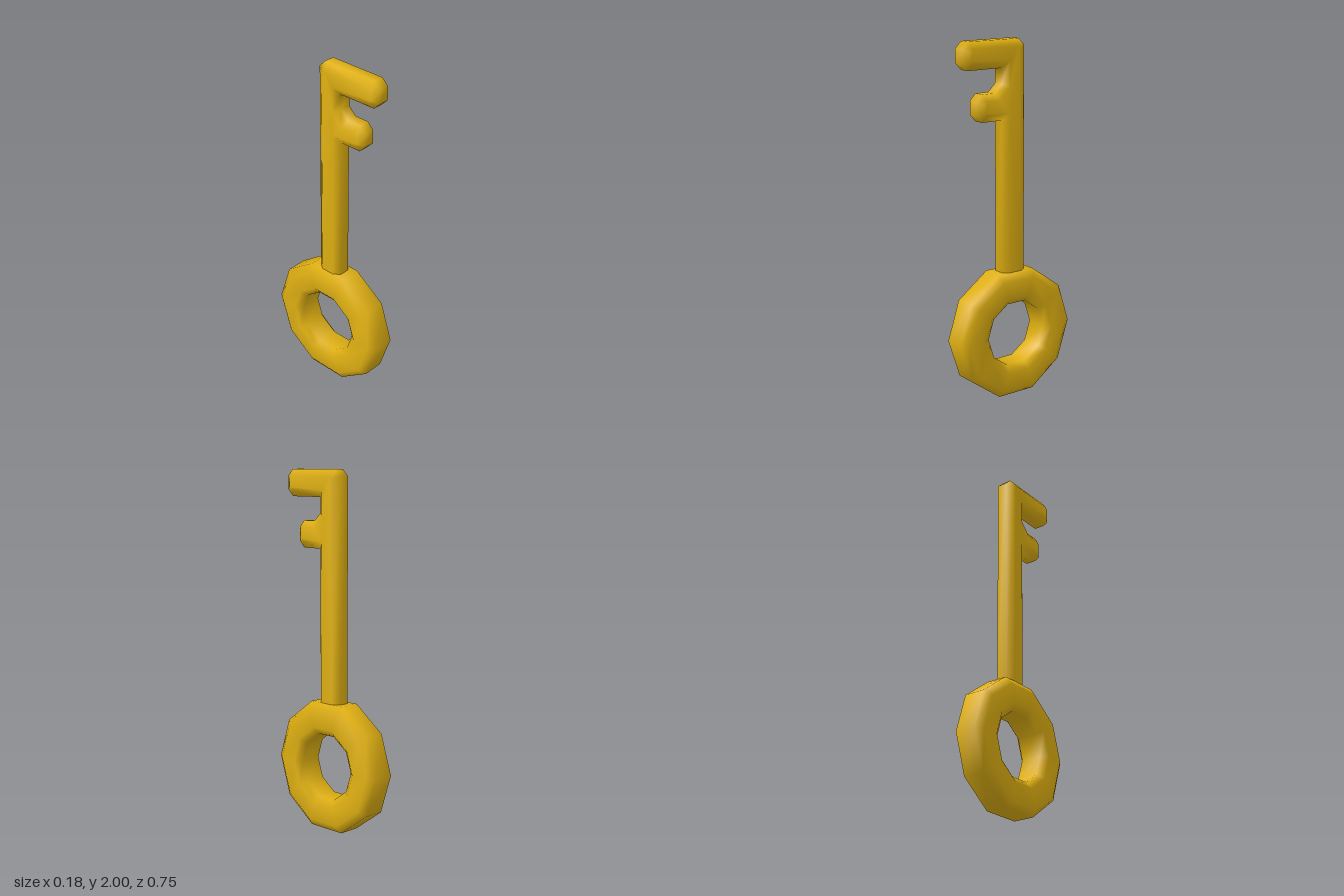
import * as THREE from 'three';
import { mergeVertices } from 'three/addons/utils/BufferGeometryUtils.js';

// Weld all vertices so the low-poly chamfers shade smoothly
function smooth(geometry) {
  geometry.deleteAttribute('uv');
  geometry.deleteAttribute('normal');
  const welded = mergeVertices(geometry, 1e-4);
  welded.computeVertexNormals();
  return welded;
}

export function createModel() {
  const model = new THREE.Group();
  model.name = 'key';
  const gold = new THREE.MeshStandardMaterial({ color: 0xdeaf12 });

  // Ten-sided ring handle: chamfered section turned around the x axis
  const section = [
    [0.19, -0.06], [0.23, -0.09], [0.334, -0.09], [0.377, -0.06],
    [0.377, 0.06], [0.334, 0.09], [0.23, 0.09], [0.19, 0.06], [0.19, -0.06],
  ].map(([r, h]) => new THREE.Vector2(r, h));
  const ringGeometry = new THREE.LatheGeometry(section, 10).rotateZ(Math.PI / 2);
  const ring = new THREE.Mesh(smooth(ringGeometry), gold);
  ring.name = 'ringHandle';
  ring.position.y = 0.36;
  model.add(ring);

  // Shaft with two teeth: side outline (z, y), extruded across x with chamfered edges
  const outline = [
    [-0.075, 0.65], [0.075, 0.65], [0.075, 1.57],
    [0.203, 1.57], [0.24, 1.607], [0.24, 1.683], [0.203, 1.72],
    [0.12, 1.72], [0.075, 1.765], [0.075, 1.85],
    [0.293, 1.85], [0.33, 1.887], [0.33, 1.963], [0.293, 2],
    [-0.038, 2], [-0.075, 1.963],
  ].map(([z, y]) => new THREE.Vector2(z, y));
  const depth = 0.06, chamfer = 0.037;
  const bladeGeometry = new THREE.ExtrudeGeometry(new THREE.Shape(outline), {
    depth, bevelSegments: 1, bevelThickness: 0.027, bevelSize: chamfer, bevelOffset: -chamfer,
  });
  bladeGeometry.translate(0, 0, -depth / 2).rotateY(-Math.PI / 2);
  const blade = new THREE.Mesh(smooth(bladeGeometry), gold);
  blade.name = 'shaftAndTeeth';
  model.add(blade);

  return model;
}
